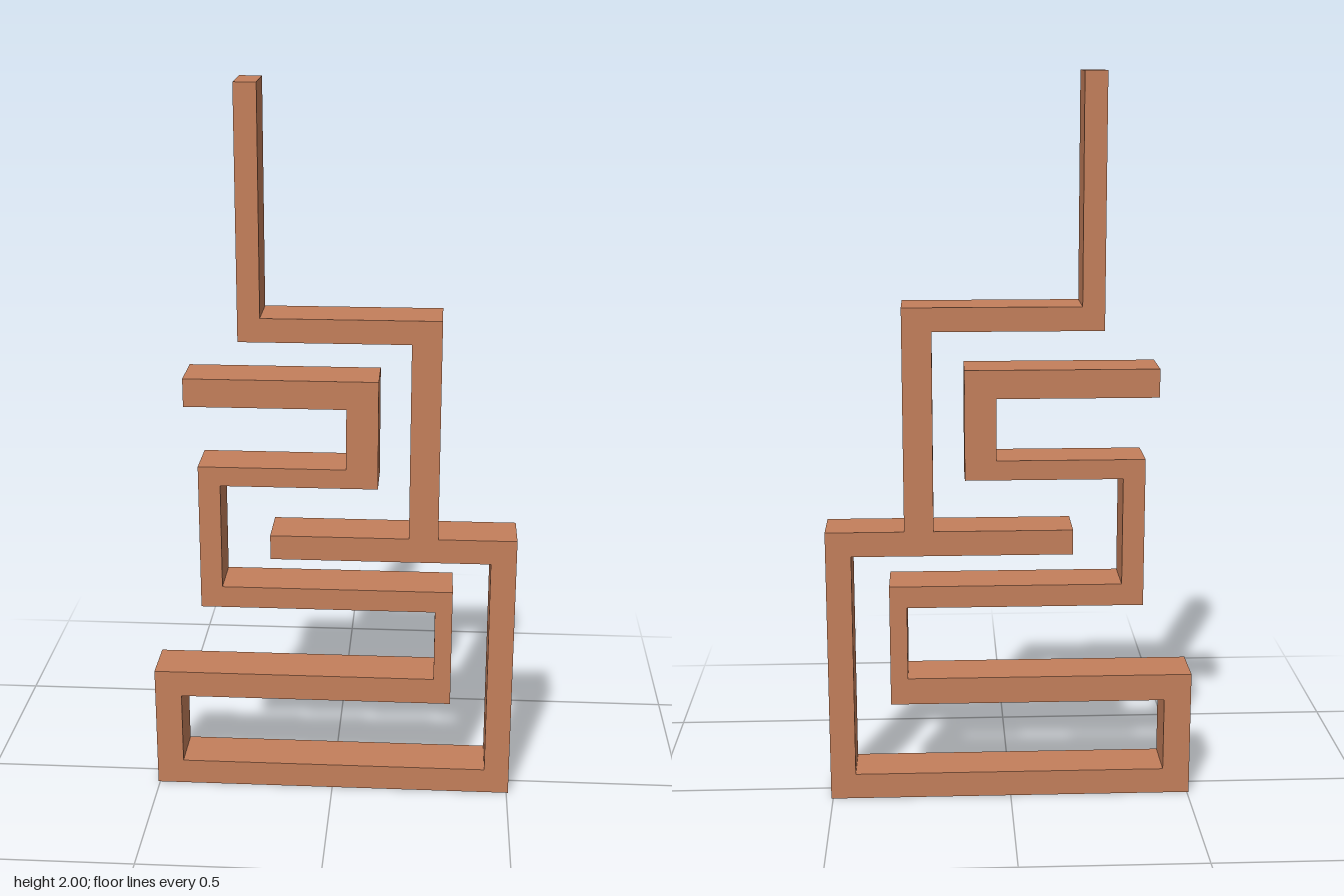
import * as THREE from 'three';

const DEPTH = 0.14;

// Right-angled outline of the whole bent strip, anticlockwise from the foot
const OUTLINE = [
  // outer side: base, right riser, mast
  [-0.505, 0], [0.505, 0], [0.505, 0.777], [0.29, 0.777], [0.29, 1.39],
  [-0.19, 1.39], [-0.19, 2], [-0.25, 2], [-0.25, 1.325], [0.21, 1.325],
  // middle shelf and inside of the base
  [0.21, 0.777], [-0.17, 0.777], [-0.17, 0.708], [0.435, 0.708],
  [0.435, 0.072], [-0.43, 0.072],
  // winding arm, out to its free end
  [-0.43, 0.279], [0.333, 0.279], [0.333, 0.621], [-0.305, 0.621],
  [-0.305, 0.919], [0.124, 0.919], [0.124, 1.221], [-0.4, 1.221],
  // and back down
  [-0.4, 1.143], [0.038, 1.143], [0.038, 0.973], [-0.365, 0.973],
  [-0.365, 0.56], [0.285, 0.56], [0.285, 0.354], [-0.505, 0.354],
];

export function createModel() {
  const copper = new THREE.MeshStandardMaterial({ color: 0xc47f5b });
  copper.name = 'copper';

  const shape = new THREE.Shape(OUTLINE.map(([x, y]) => new THREE.Vector2(x, y)));
  const geometry = new THREE.ExtrudeGeometry(shape, { depth: DEPTH, bevelEnabled: false });
  geometry.translate(0, 0, -DEPTH / 2);

  const strip = new THREE.Mesh(geometry, copper);
  strip.name = 'windingStrip';

  const model = new THREE.Group();
  model.name = 'bentStripSculpture';
  model.add(strip);
  return model;
}
